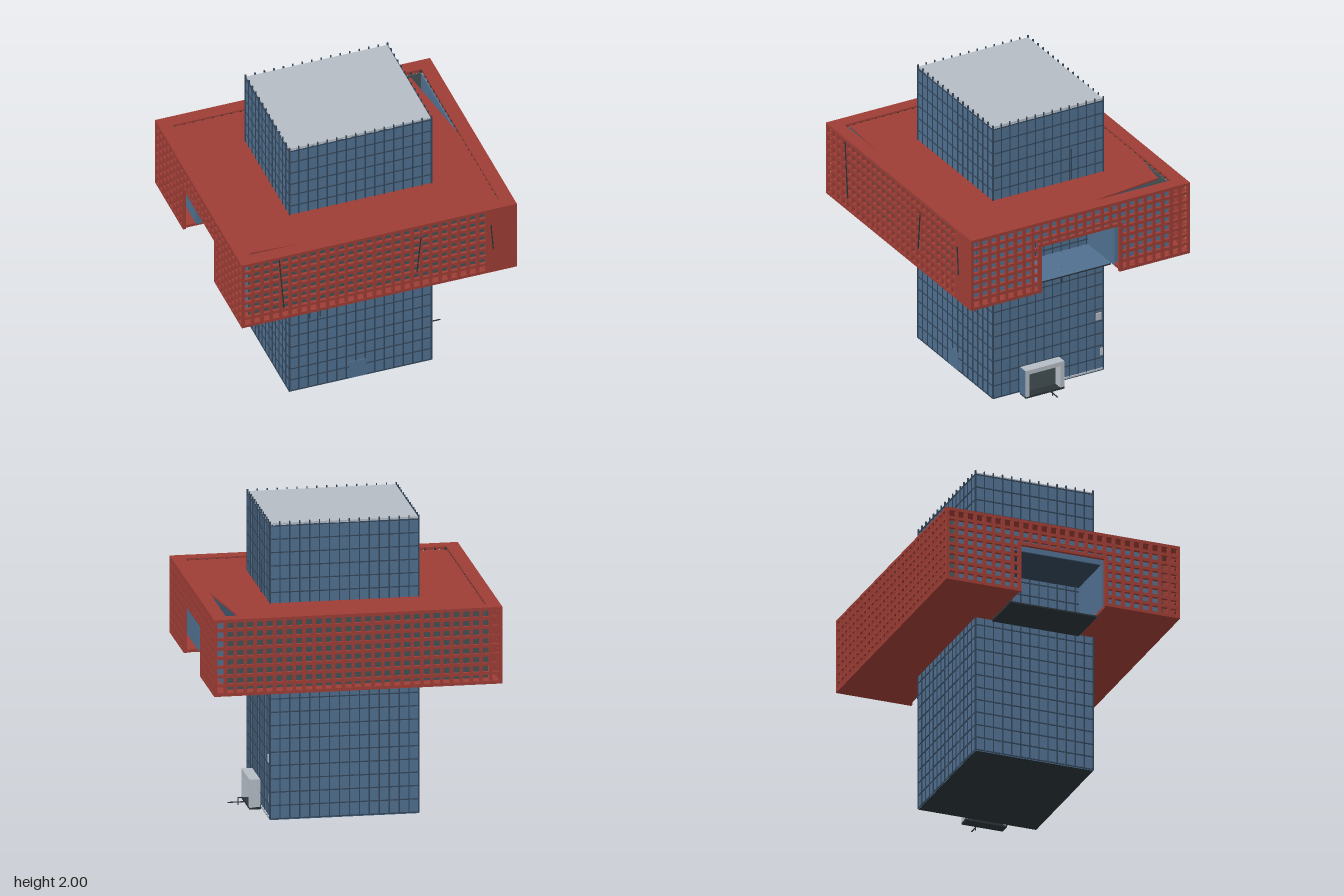
import * as THREE from 'three';
import { mergeGeometries } from 'three/addons/utils/BufferGeometryUtils.js';

const mat = (name, color) => {
  const m = new THREE.MeshStandardMaterial({ color });
  m.name = name;
  return m;
};

// Box given by its minimum and maximum corners
function span(x0, x1, y0, y1, z0, z1) {
  const g = new THREE.BoxGeometry(x1 - x0, y1 - y0, z1 - z0);
  return g.translate((x0 + x1) / 2, (y0 + y1) / 2, (z0 + z1) / 2);
}

// Flat grid of bars facing +z; an optional doorway is left free in the middle
function barGrid({ w, y0, y1, cols, rows, bar, depth, top = y1, door = null }) {
  const parts = [];
  const h = w / 2;
  for (let i = 0; i <= cols; i++) {
    const x = -h + bar / 2 + ((w - bar) * i) / cols;
    const low = door && Math.abs(x) < door.half ? door.top : y0;
    parts.push(span(x - bar / 2, x + bar / 2, low, top, -depth, 0));
  }
  for (let j = 0; j <= rows; j++) {
    const y = y0 + bar / 2 + ((y1 - y0 - bar) * j) / rows;
    const runs = door && y < door.top ? [[-h, -door.half], [door.half, h]] : [[-h, h]];
    for (const [a, b] of runs) parts.push(span(a, b, y - bar / 2, y + bar / 2, -depth, 0));
  }
  if (door) {
    const { half, top: t } = door;
    parts.push(span(-half, half, t, t + 0.02, -depth, 0));
    for (const s of [-1, 1]) {
      const x = s * (half + 0.01);
      parts.push(span(x - 0.012, x + 0.012, y0, t + 0.02, -depth, 0));
    }
  }
  return mergeGeometries(parts);
}

function polygon(points) {
  return new THREE.Shape(points.map(([x, y]) => new THREE.Vector2(x, y)));
}

export function createModel() {
  const model = new THREE.Group();
  model.name = 'towerWithLatticeRing';

  const blue = mat('blue glass', 0x507090);
  const navy = mat('dark blue frame', 0x33465a);
  const red = mat('red lattice', 0x9e3d35);
  const grey = mat('light grey', 0xb4bcc4);
  const slate = mat('dark slate', 0x445154);
  const black = mat('near black', 0x2b3438);

  const add = (name, geometry, material, parent = model) => {
    const mesh = new THREE.Mesh(geometry, material);
    mesh.name = name;
    parent.add(mesh);
    return mesh;
  };

  // ---- Tower: glass block with grey roof and dark underside
  const X0 = -0.465, X1 = 0.505, Z0 = -0.415, Z1 = 0.4;
  const cx = (X0 + X1) / 2, cz = (Z0 + Z1) / 2;
  add('towerBody', span(X0, X1, 0.015, 1.975, Z0, Z1), [blue, blue, grey, black, blue, blue]);
  add('towerRoof', span(X0 + 0.004, X1 - 0.004, 1.975, 1.988, Z0 + 0.004, Z1 - 0.004), grey);

  // Window frames on the four faces, with posts rising past the roof edge
  const frames = new THREE.Group();
  frames.name = 'towerFrames';
  model.add(frames);
  const wide = { w: X1 - X0 + 0.01, cols: 15 };
  const deep = { w: Z1 - Z0 + 0.01, cols: 13 };
  const faces = [
    ['front', wide, cx, Z1 + 0.005, 0],
    ['back', wide, cx, Z0 - 0.005, Math.PI],
    ['left', deep, X1 + 0.005, cz, Math.PI / 2],
    ['right', deep, X0 - 0.005, cz, -Math.PI / 2],
  ];
  for (const [side, size, x, z, turn] of faces) {
    const g = barGrid({ ...size, y0: 0.02, y1: 1.975, rows: 22, bar: 0.007, depth: 0.01, top: 2 });
    const m = add(side + 'WindowFrame', g, navy, frames);
    m.position.set(x, 0, z);
    m.rotation.y = turn;
  }
  add('plainFrontPanel', span(-0.06, 0.06, 0.02, 0.15, Z1, Z1 + 0.006), blue);

  // ---- Ring: lattice walls around the tower, doorways on both x sides
  const ring = new THREE.Group();
  ring.name = 'latticeRing';
  model.add(ring);
  const RX = 0.94, RZ = 0.81, B = 0.96, T = 1.47;
  const door = { half: 0.29, top: 1.29 };
  const walls = [
    ['front', 2 * RX, 29, 0, RZ, 0, null],
    ['back', 2 * RX, 29, 0, -RZ, Math.PI, null],
    ['left', 2 * RZ, 25, RX, 0, Math.PI / 2, door],
    ['right', 2 * RZ, 25, -RX, 0, -Math.PI / 2, door],
  ];
  for (const [side, w, cols, x, z, turn, opening] of walls) {
    const g = barGrid({ w, cols, y0: B, y1: T, rows: 8, bar: 0.021, depth: 0.02, door: opening });
    const m = add(side + 'Lattice', g, red, ring);
    m.position.set(x, 0, z);
    m.rotation.y = turn;
  }
  add('frontSolidPanel', span(0.75, RX, B, T, RZ - 0.02, RZ), red, ring);

  // Floor plates either side of the passage
  add('floorFront', span(-RX, RX, B, B + 0.02, 0.3, RZ), red, ring);
  add('floorBack', span(-RX, RX, B, B + 0.02, -RZ, -0.3), red, ring);

  // Raised rim
  const rim = polygon([[-RX, -RZ], [RX, -RZ], [RX, RZ], [-RX, RZ]]);
  rim.holes.push(polygon([[-0.85, -0.72], [-0.85, 0.72], [0.85, 0.72], [0.85, -0.72]]));
  const rimGeometry = new THREE.ExtrudeGeometry(rim, { depth: 0.02, bevelEnabled: false });
  add('rim', rimGeometry.rotateX(-Math.PI / 2).translate(0, T - 0.02, 0), red, ring);

  // Roof deck, torn open at two corners (shape y is -z)
  const deck = polygon([
    [-0.85, -0.685], [-0.2, -0.72], [0.85, -0.72], [0.85, 0],
    [0.76, 0.675], [0.42, 0.72], [-0.85, 0.72],
  ]);
  const deckGeometry = new THREE.ExtrudeGeometry(deck, { depth: 0.012, bevelEnabled: false });
  add('roofDeck', deckGeometry.rotateX(-Math.PI / 2).translate(0, 1.445, 0), red, ring);

  // Small studs along the inside of the rim
  const studs = [];
  for (let i = 0; i <= 26; i++) {
    const x = -0.84 + (i * 1.68) / 26, z = -0.71 + (i * 1.42) / 26;
    for (const s of [-1, 1]) {
      studs.push(span(x - 0.006, x + 0.006, 1.45, 1.461, s * 0.718 - 0.002, s * 0.718 + 0.002));
      studs.push(span(s * 0.848 - 0.002, s * 0.848 + 0.002, 1.45, 1.461, z - 0.006, z + 0.006));
    }
  }
  add('rimStuds', mergeGeometries(studs), black, ring);

  // Inner walls behind the lattice
  for (const s of [-1, 1]) {
    const z = s * 0.715;
    add('innerLongWall', span(-0.862, 0.85, B + 0.01, 1.445, z - 0.005, z + 0.005), slate, ring);
    const x = s * 0.845;
    // The left wall runs on behind the solid front panel
    const zEnd = s > 0 ? 0.79 : 0.72;
    add('innerSideWall', mergeGeometries([
      span(x - 0.005, x + 0.005, 1.29, 1.445, -0.72, zEnd),
      span(x - 0.005, x + 0.005, B + 0.01, 1.29, -0.72, -0.3),
      span(x - 0.005, x + 0.005, B + 0.01, 1.29, 0.3, zEnd),
    ]), blue, ring);
    add('passageWall', span(-0.85, 0.85, B, 1.3, s * 0.305 - 0.005, s * 0.305 + 0.005), blue, ring);
  }
  add('passageCeiling', span(-0.85, 0.85, 1.292, 1.302, -0.71, 0.71), navy, ring);
  // Passage floor: blue on top, dark below
  add('passageFloor', span(-0.78, 0.81, 0.95, 0.96, -0.3, 0.3),
    [black, black, blue, black, black, black], ring);

  // Thin crooked rods on the front lattice
  for (const [x, y, length, tilt] of [[-0.67, 1.25, 0.4, 0.08], [0.27, 1.24, 0.28, -0.1], [0.77, 1.25, 0.2, 0.08]]) {
    const rod = add('crookedRod', new THREE.BoxGeometry(0.007, length, 0.006), black, ring);
    rod.position.set(x, y, RZ + 0.002);
    rod.rotation.z = tilt;
  }

  // ---- Entrance porch
  const porch = new THREE.Group();
  porch.name = 'entrance';
  model.add(porch);
  add('porchFrame', mergeGeometries([
    span(X1, 0.58, 0.01, 0.2, 0.172, 0.2),
    span(X1, 0.58, 0.01, 0.2, -0.085, -0.055),
    span(X1, 0.58, 0.17, 0.2, -0.085, 0.2),
  ]), grey, porch);
  add('porchSide', span(X1, 0.578, 0.012, 0.198, 0.199, 0.203), blue, porch);
  add('doorway', span(X1, 0.518, 0.015, 0.17, -0.055, 0.172), slate, porch);
  add('threshold', span(X1, 0.58, 0, 0.015, -0.085, 0.2), black, porch);
  add('barrier', mergeGeometries([
    span(0.58, 0.7, 0.02, 0.026, 0.03, 0.036),
    span(0.63, 0.637, 0.005, 0.055, 0.03, 0.036),
    span(0.6, 0.637, 0.049, 0.055, 0.03, 0.036),
  ]), black, porch);

  // ---- Loose poles and facade details
  add('hangingPole', span(0.688, 0.698, 0.85, 0.96, -0.005, 0.005), black);
  add('wallPole', span(0.515, 0.523, 1.47, 1.69, -0.175, -0.167), navy);
  add('facadeLadder', mergeGeometries([
    span(-0.33, -0.324, 0.58, 0.79, Z1, Z1 + 0.009),
    span(-0.26, -0.254, 0.58, 0.79, Z1, Z1 + 0.009),
    span(-0.33, -0.254, 0.73, 0.736, Z1, Z1 + 0.009),
  ]), navy);
  add('palePatches', mergeGeometries([
    span(X1, X1 + 0.007, 0.39, 0.44, -0.4, -0.355),
    span(X1, X1 + 0.007, 0.13, 0.18, -0.41, -0.39),
    span(X1, X1 + 0.007, 0.025, 0.036, -0.41, -0.12),
  ]), grey);

  return model;
}
